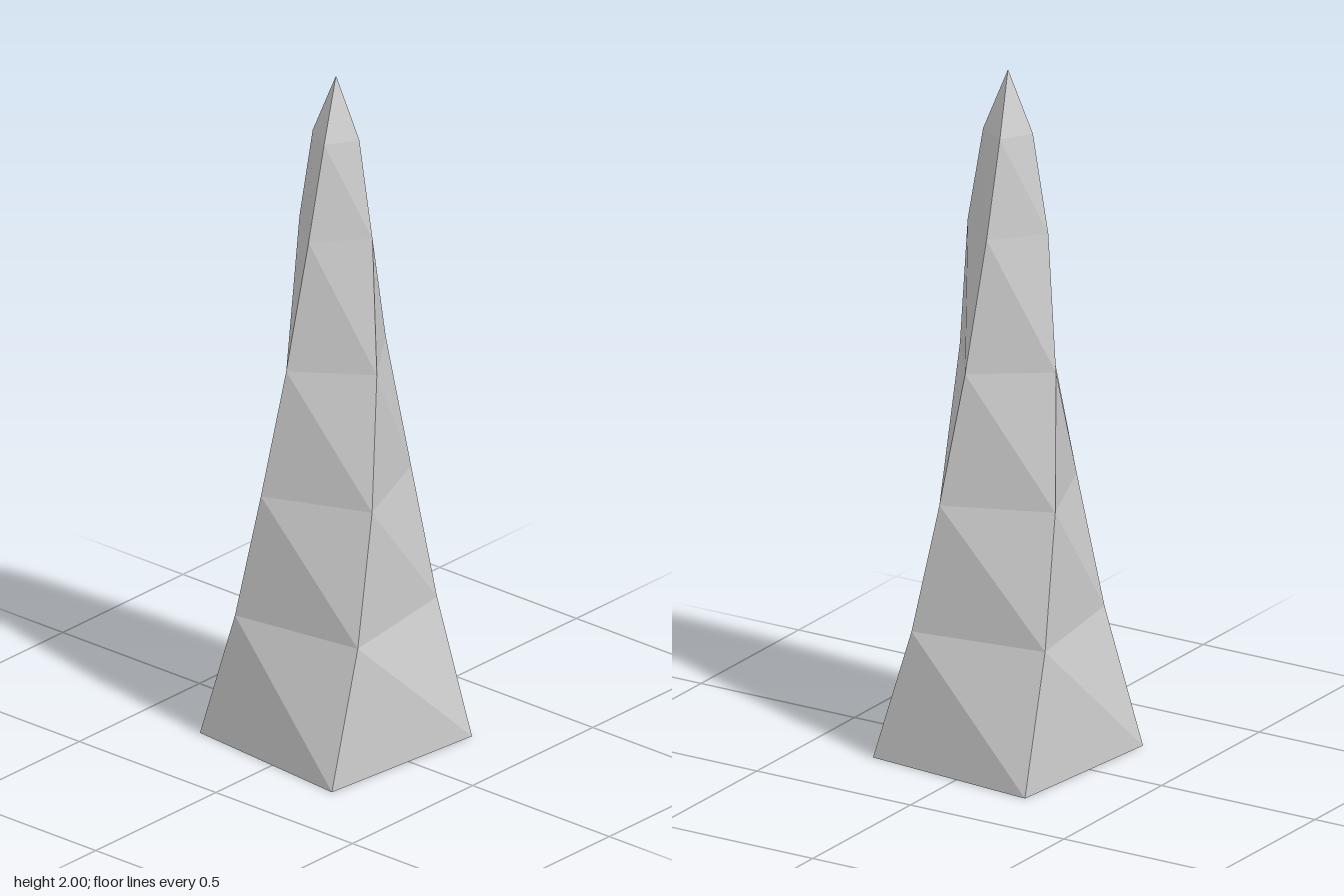
import * as THREE from 'three';

// Cross-sections of the spike: [height, corner radius]
const RINGS = [[0, 0.374], [0.39, 0.284], [0.77, 0.229], [1.155, 0.177], [1.54, 0.1255], [1.82, 0.072]];
const SIDES = 4;
const START = THREE.MathUtils.degToRad(-39.6); // direction of the first base corner
const TWIST = THREE.MathUtils.degToRad(-35.6); // turn per unit of height

// Corner i of a square ring, turned in proportion to its height
function corner([y, r], i) {
  const a = START + TWIST * y + (i * 2 * Math.PI) / SIDES;
  return [r * Math.cos(a), y, r * Math.sin(a)];
}

function twistedSpike() {
  const positions = [];
  const tri = (a, b, c) => positions.push(...a, ...b, ...c);
  const tip = [0, 2, 0];
  const base = RINGS[0];
  const top = RINGS[RINGS.length - 1];

  for (let i = 0; i < SIDES; i++) {
    // Side bands, split along the twist
    for (let k = 0; k < RINGS.length - 1; k++) {
      const p0 = corner(RINGS[k], i), p1 = corner(RINGS[k], i + 1);
      const q0 = corner(RINGS[k + 1], i), q1 = corner(RINGS[k + 1], i + 1);
      tri(p0, q1, p1);
      tri(p0, q0, q1);
    }
    // Pointed tip
    tri(corner(top, i), tip, corner(top, i + 1));
  }
  // Flat underside
  for (let i = 1; i < SIDES - 1; i++) tri(corner(base, 0), corner(base, i), corner(base, i + 1));

  const geometry = new THREE.BufferGeometry();
  geometry.setAttribute('position', new THREE.Float32BufferAttribute(positions, 3));
  geometry.computeVertexNormals();
  return geometry;
}

export function createModel() {
  const group = new THREE.Group();
  group.name = 'twistedSpike';
  const material = new THREE.MeshStandardMaterial({ color: 0xcccccc, flatShading: true });
  const spike = new THREE.Mesh(twistedSpike(), material);
  spike.name = 'spike';
  group.add(spike);
  return group;
}
